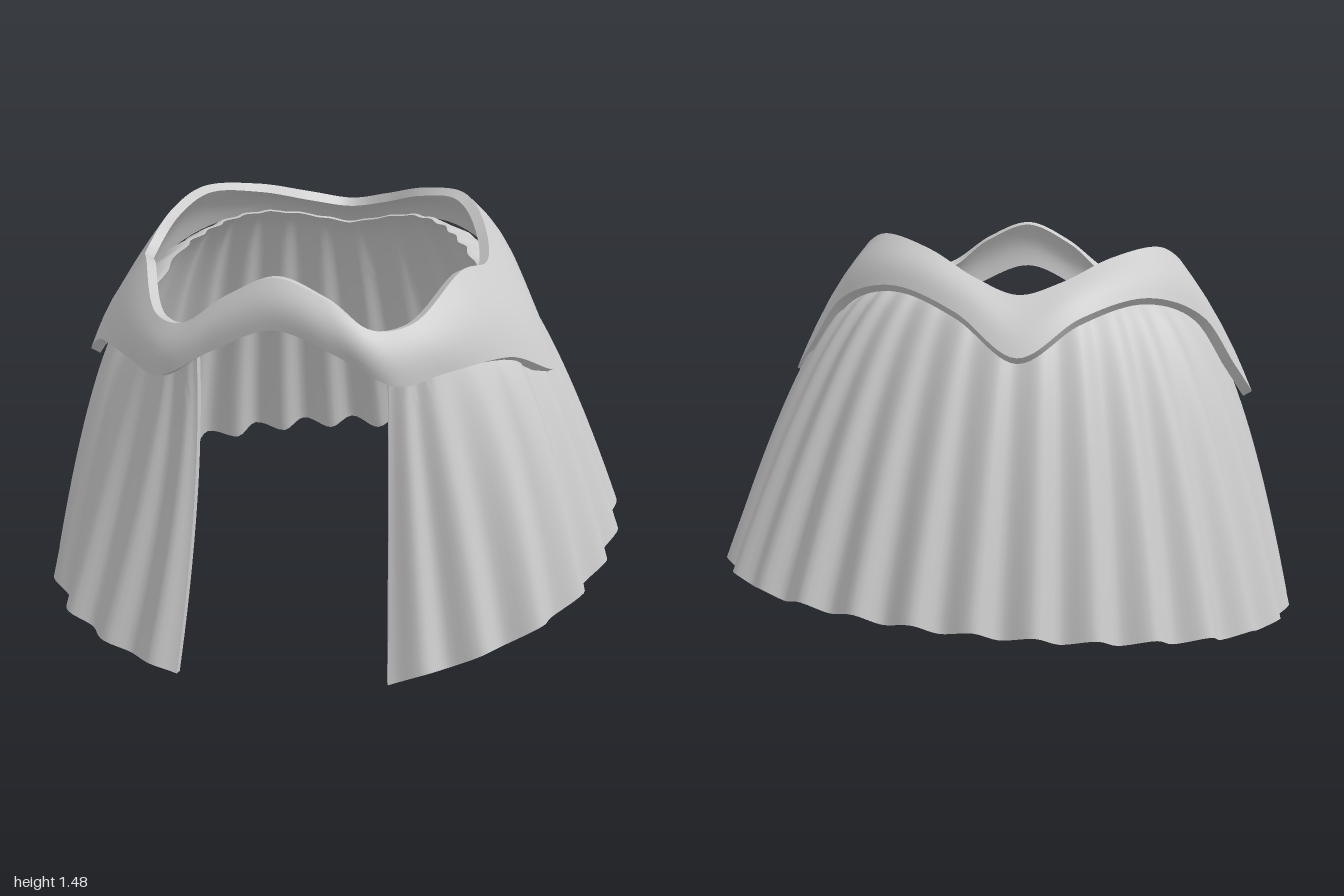
import * as THREE from 'three';
import { toCreasedNormals } from 'three/addons/utils/BufferGeometryUtils.js';

const V = (p) => new THREE.Vector3(...p);
const flip = (p) => [-p[0], p[1], p[2]];
const { lerp, smoothstep, mapLinear } = THREE.MathUtils;

// Skins a row of cross-sections (outer side top to bottom, inner side bottom to top)
function skin(sections, closed, crease) {
  const m = sections.length, n = sections[0].length, index = [];
  const quad = (a, b, c, d) => index.push(a, b, c, a, c, d);
  for (let j = 0; j < (closed ? m : m - 1); j++) {
    const p = j * n, q = ((j + 1) % m) * n;
    for (let i = 0; i < n; i++) {
      const k = (i + 1) % n;
      quad(p + i, p + k, q + k, q + i);
    }
  }
  if (!closed) {
    const e = (m - 1) * n;
    for (let i = 0; i < n / 2 - 1; i++) {
      quad(n - 1 - i, n - 2 - i, i + 1, i);
      quad(e + i, e + i + 1, e + n - 2 - i, e + n - 1 - i);
    }
  }
  const g = new THREE.BufferGeometry().setFromPoints(sections.flat());
  g.setIndex(index);
  return toCreasedNormals(g.toNonIndexed(), crease);
}

// Half outlines run from the front, round the model's left side, to the back
const beltTop = [
  [0, 1.42, 0.70], [0.15, 1.36, 0.70], [0.30, 1.255, 0.685], [0.41, 1.25, 0.61],
  [0.52, 1.335, 0.36], [0.58, 1.305, 0.17], [0.54, 1.39, 0.02], [0.46, 1.44, -0.10],
  [0.30, 1.41, -0.24], [0.14, 1.34, -0.38], [0, 1.30, -0.44],
];
const beltBottom = [
  [0, 1.26, 0.73], [0.2, 1.18, 0.725], [0.38, 1.08, 0.705], [0.52, 1.08, 0.58],
  [0.69, 1.05, 0.37], [0.815, 0.915, 0.12], [0.735, 1.04, -0.02], [0.62, 1.21, -0.12],
  [0.43, 1.29, -0.29], [0.2, 1.24, -0.49], [0, 1.12, -0.595],
];
const skirtRim = [
  [0.31, 1.14, 0.655], [0.42, 1.14, 0.58], [0.52, 1.16, 0.35], [0.58, 1.16, 0.13], [0.52, 1.25, 0],
  [0.45, 1.285, -0.10], [0.38, 1.30, -0.19], [0.28, 1.30, -0.27], [0.15, 1.26, -0.37], [0, 1.22, -0.42],
];
const skirtHem = [
  [0.37, 0.03, 0.785], [0.64, 0.09, 0.69], [0.86, 0.16, 0.53], [0.965, 0.20, 0.25], [0.985, 0.22, -0.02],
  [0.92, 0.235, -0.32], [0.76, 0.245, -0.54], [0.52, 0.25, -0.68], [0.26, 0.25, -0.755], [0, 0.25, -0.775],
];

function mirrored(half, closed) {
  const other = half.slice(closed ? 1 : 0, -1).reverse().map(flip);
  return new THREE.CatmullRomCurve3([...half, ...other].map(V), closed, 'centripetal');
}

// Wavy five-cornered waist belt, slightly tilted to one side
function beltGeometry() {
  const top = mirrored(beltTop, true), bottom = mirrored(beltBottom, true);
  const cols = 200, rows = 6, sections = [];
  for (let j = 0; j < cols; j++) {
    const t = j / cols, a = top.getPoint(t), b = bottom.getPoint(t);
    const along = top.getTangent(t).add(bottom.getTangent(t));
    const normal = b.clone().sub(a).cross(along).normalize();
    const outer = [], inner = [];
    for (let i = 0; i <= rows; i++) {
      const s = i / rows;
      const p = a.clone().lerp(b, s).addScaledVector(normal, 0.02 * Math.sin(Math.PI * s));
      const q = p.clone().addScaledVector(normal, -0.035);
      for (const v of [p, q]) {
        v.y += 0.045 * v.x;
        v.x -= 0.05;
      }
      outer.push(p);
      inner.unshift(q);
    }
    sections.push([...outer, ...inner]);
  }
  return skin(sections, true, 0.7);
}

// Flare of the skirt: hollow at the front edges, full at the sides and back
function flare(t) {
  const w = Math.min(t, 1 - t);
  return w < 0.12 ? mapLinear(w, 0, 0.12, 1.6, 0.55) : mapLinear(w, 0.12, 0.5, 0.55, 0.66);
}

// Pleated skirt, open at the front
function skirtGeometry() {
  const rim = mirrored(skirtRim, false), hem = mirrored(skirtHem, false);
  const pleats = 26, steps = 10, rows = 24, sections = [];
  for (let j = 0; j <= pleats * steps; j++) {
    const t = hem.getUtoTmapping(j / (pleats * steps));
    const a = rim.getPoint(t), b = hem.getPoint(t), d = hem.getTangent(t);
    const normal = new THREE.Vector3(-d.z, 0, d.x).normalize();
    const f = (j % steps) / steps;
    const wave = smoothstep(f < 0.6 ? f / 0.6 : (1 - f) / 0.4, 0, 1) - 0.5;
    const power = flare(t), outer = [], inner = [];
    for (let i = 0; i <= rows; i++) {
      const s = i / rows, r = Math.pow(s, power);
      const p = new THREE.Vector3(lerp(a.x, b.x, r), lerp(a.y, b.y, s), lerp(a.z, b.z, r));
      p.addScaledVector(normal, lerp(0.014, 0.044, s) * wave);
      p.y += 0.03 * wave * s * s;
      const q = p.clone().addScaledVector(normal, -0.018);
      const front = Math.min(1, Math.max(0, p.z) ** 2 / 0.45);
      for (const v of [p, q]) {
        v.y += lerp(0.045, 0.08, s) * v.x;
        v.x += lerp(0.05 * (s - 1), -0.01 - 0.025 * s * s, front);
      }
      outer.push(p);
      inner.unshift(q);
    }
    sections.push([...outer, ...inner]);
  }
  return skin(sections, false, 0.75);
}

export function createModel() {
  const group = new THREE.Group();
  const material = new THREE.MeshStandardMaterial({ color: 0xcccccc, side: THREE.DoubleSide });
  const add = (name, geometry) => {
    const mesh = new THREE.Mesh(geometry, material);
    mesh.name = name;
    group.add(mesh);
  };
  add('belt', beltGeometry());
  add('pleatedSkirt', skirtGeometry());
  return group;
}
